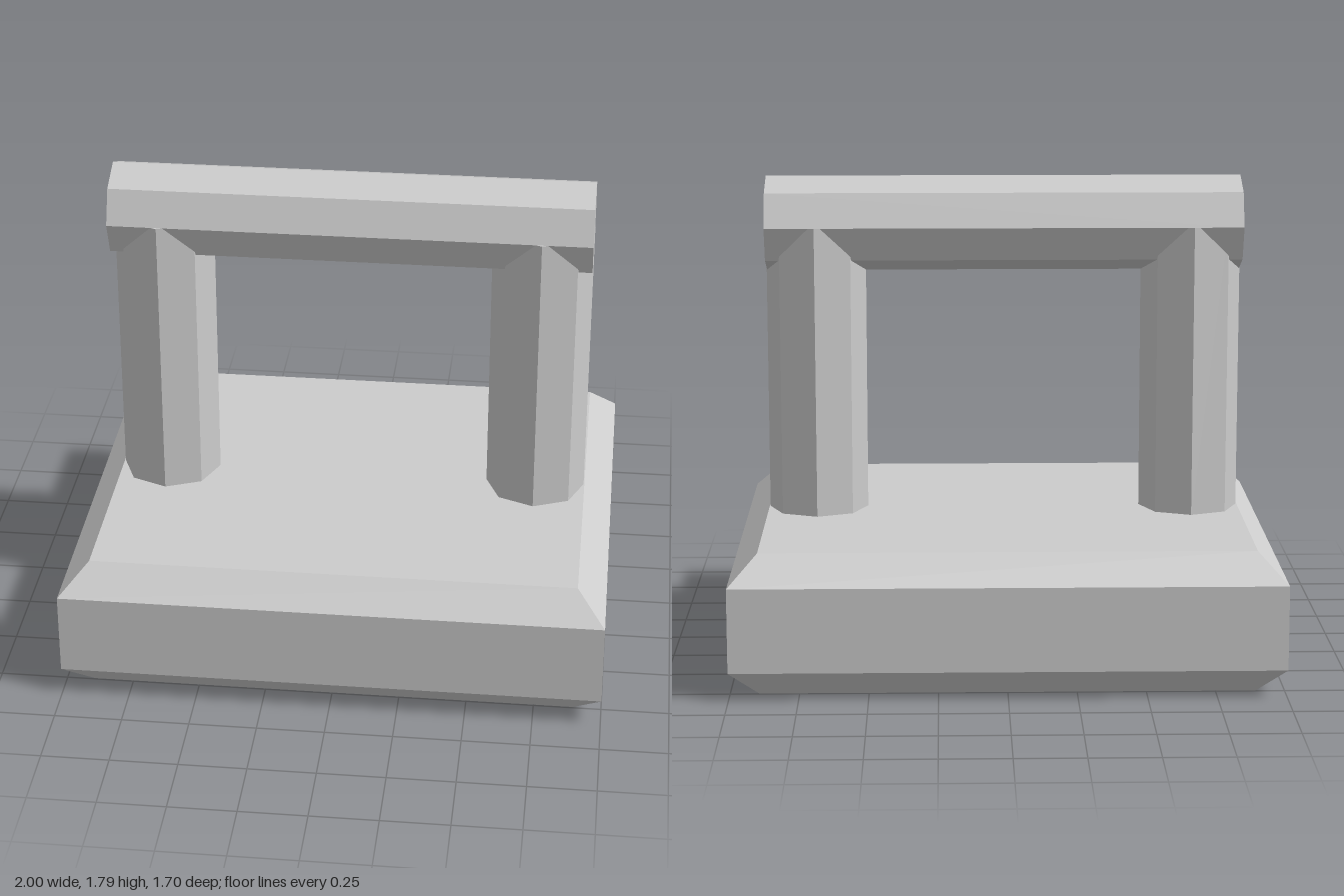
import * as THREE from 'three';

export function createModel() {
  const group = new THREE.Group();
  const grey = new THREE.MeshStandardMaterial({ color: 0xcccccc, flatShading: true });
  grey.name = 'light grey';

  const add = (name, geometry, x, y, z) => {
    const mesh = new THREE.Mesh(geometry, grey);
    mesh.name = name;
    mesh.position.set(x, y, z);
    group.add(mesh);
  };

  // Slab with bevelled top and bottom edges: outer rows of a box are pulled in
  const height = 0.52, bevel = 0.105;
  const slab = new THREE.BoxGeometry(2, height, 1.7, 1, 3, 1).toNonIndexed();
  const p = slab.attributes.position;
  for (let i = 0; i < p.count; i++) {
    const x = p.getX(i), y = p.getY(i), z = p.getZ(i);
    if (Math.abs(y) > height / 2 - 0.01) {
      p.setXYZ(i, x - Math.sign(x) * bevel, y, z - Math.sign(z) * bevel);
    } else {
      p.setY(i, Math.sign(y) * (height / 2 - bevel));
    }
  }
  slab.computeVertexNormals();
  add('base', slab, 0, height / 2, 0);

  // Eight-sided posts, running up into the middle of the grip
  const gripY = 1.61, postBottom = 0.5;
  for (const [name, side] of [['leftPost', 1], ['rightPost', -1]]) {
    const post = new THREE.CylinderGeometry(0.187, 0.187, gripY - postBottom, 8);
    add(name, post, side * 0.705, (gripY + postBottom) / 2, 0);
  }

  // Eight-sided grip bar
  const grip = new THREE.CylinderGeometry(0.178, 0.178, 1.78, 8).rotateZ(Math.PI / 2);
  add('grip', grip, 0, gripY, 0);

  return group;
}
